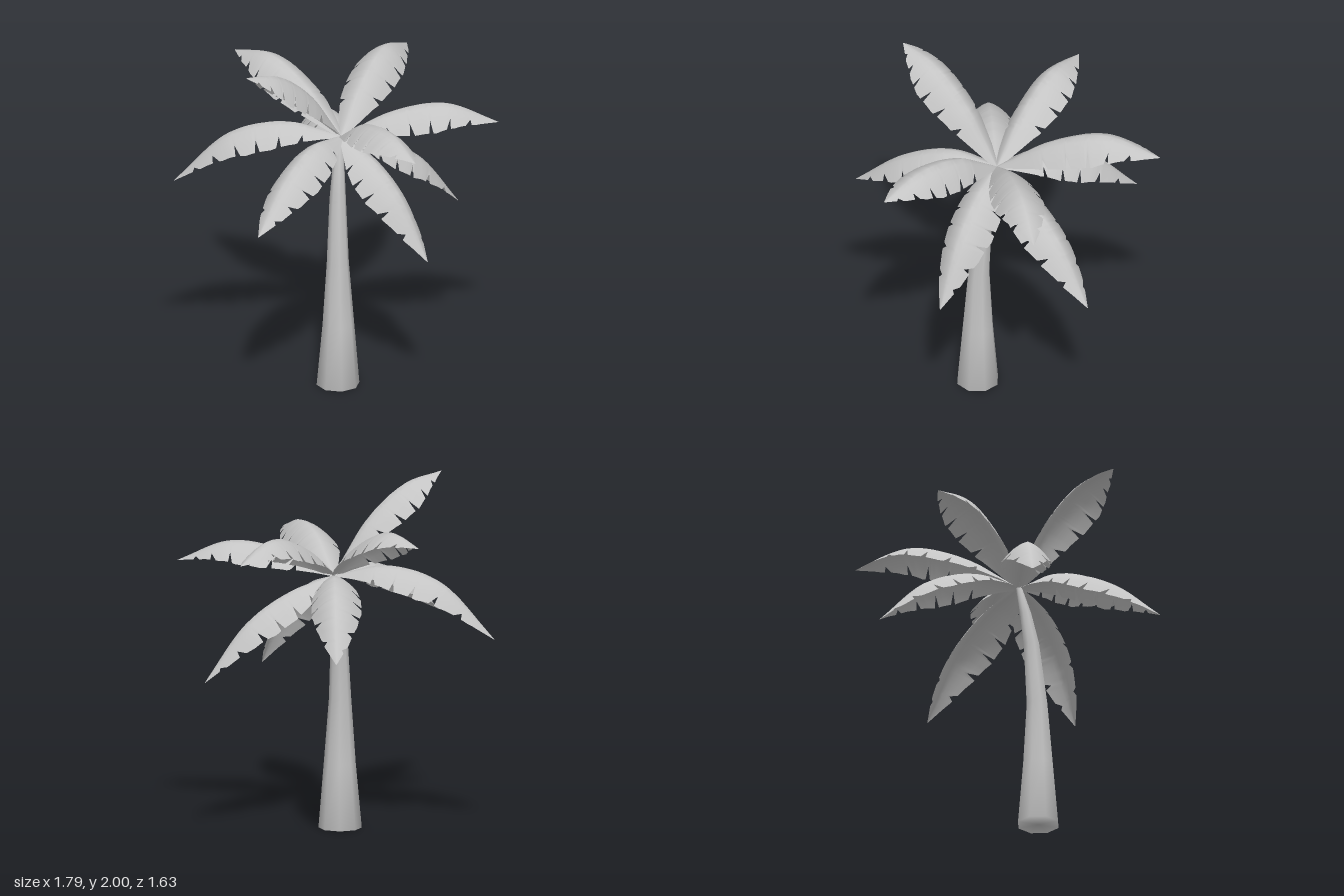
import * as THREE from 'three';
import { mergeVertices } from 'three/addons/utils/BufferGeometryUtils.js';

const ROOT = new THREE.Vector3(0.01, 1.465, 0.03);

// Each frond: tip x, tip z, rib heights at one third, two thirds and the tip, roll in degrees
const FRONDS = [
  [-0.90, -0.23, 1.54, 1.46, 1.15, 0],
  [-0.48, -0.64, 1.69, 1.80, 1.75, -8],
  [-0.02, -0.82, 1.50, 1.40, 1.12, 4],
  [0.52, -0.76, 1.68, 1.77, 1.67, 4],
  [0.73, -0.25, 1.39, 1.23, 0.90, 0],
  [0.89, 0.13, 1.61, 1.65, 1.53, 3],
  [0.42, 0.52, 1.39, 1.22, 0.87, 0],
  [0.30, 0.81, 1.64, 1.68, 1.60, -6],
  [-0.57, 0.66, 1.50, 1.39, 1.15, 0],
  [-0.59, 0.37, 1.78, 1.95, 2.00, -4],
];

// Half width of the blade along its length
const WIDTH = [[0, 0.015], [0.1, 0.06], [0.25, 0.115], [0.42, 0.14], [0.6, 0.142], [0.75, 0.118], [0.88, 0.07], [1, 0.002]];
// Tear positions on each edge
const TEARS = [[0.23, 0.38, 0.53, 0.67, 0.8, 0.9], [0.28, 0.43, 0.57, 0.72, 0.85]];

function widthAt(t) {
  const i = Math.max(1, WIDTH.findIndex(([s]) => s >= t));
  const [a, wa] = WIDTH[i - 1], [b, wb] = WIDTH[i];
  return wa + (wb - wa) * (t - a) / (b - a);
}

// The edge runs inward at each tear
function edgeAt(t, tears, shift) {
  let cut = 0;
  for (const c of tears) cut = Math.max(cut, 1 - Math.abs(t - c - shift) / 0.017);
  return widthAt(t) * (1 - 0.33 * cut);
}

function frondGeometry([x, z, y1, y2, y3, roll], index) {
  const at = (s, y) => new THREE.Vector3(ROOT.x + (x - ROOT.x) * s, y, ROOT.z + (z - ROOT.z) * s);
  const rib = new THREE.CatmullRomCurve3([ROOT, at(1 / 3, y1), at(2 / 3, y2), at(1, y3)]);
  const level = new THREE.Vector3(ROOT.z - z, 0, x - ROOT.x).normalize();
  const shift = ((index * 7) % 5 - 2) * 0.008;

  const stations = WIDTH.map(([s]) => s);
  for (const c of TEARS.flat()) stations.push(c + shift - 0.017, c + shift, c + shift + 0.017);
  stations.sort((a, b) => a - b);

  const columns = 8, positions = [], indices = [];
  stations.forEach((t, i) => {
    const p = rib.getPoint(t), tangent = rib.getTangent(t);
    const side = level.clone().applyAxisAngle(tangent, THREE.MathUtils.degToRad(roll));
    const normal = new THREE.Vector3().crossVectors(side, tangent).normalize();
    const edges = TEARS.map((tears) => edgeAt(t, tears, shift));
    for (let j = 0; j <= columns; j++) {
      const u = j / columns * 2 - 1;
      const d = u * edges[u < 0 ? 0 : 1];
      // The blade falls away from a soft ridge
      const drop = 0.25 * Math.abs(d) + 4.2 * d * d;
      const v = p.clone().addScaledVector(side, d).addScaledVector(normal, -drop);
      positions.push(v.x, v.y, v.z);
      if (i && j) {
        const d1 = i * (columns + 1) + j, c1 = d1 - 1, b1 = d1 - columns - 1, a1 = b1 - 1;
        indices.push(a1, b1, c1, b1, d1, c1);
      }
    }
  });
  const g = new THREE.BufferGeometry();
  g.setAttribute('position', new THREE.Float32BufferAttribute(positions, 3));
  g.setIndex(indices);
  g.computeVertexNormals();
  return g;
}

// Eight-sided trunk, bent and tapered by rings of centre x, y, z and radius
const RINGS = [[-0.025, 0, 0.132, 0.122], [-0.023, 0.37, 0.132, 0.09], [-0.025, 0.74, 0.125, 0.063],
  [-0.02, 1.11, 0.093, 0.047], [-0.01, 1.3, 0.062, 0.034], [0.005, 1.46, 0.028, 0.018]];

function trunkGeometry() {
  const segments = RINGS.length - 1;
  const base = new THREE.CylinderGeometry(1, 1, 1, 8, segments);
  base.deleteAttribute('normal');
  base.deleteAttribute('uv');
  const g = mergeVertices(base);
  const pos = g.attributes.position;
  for (let i = 0; i < pos.count; i++) {
    const [x, y, z, r] = RINGS[Math.round((pos.getY(i) + 0.5) * segments)];
    pos.setXYZ(i, x + pos.getX(i) * r, y, z + pos.getZ(i) * r);
  }
  g.computeVertexNormals();
  return g;
}

export function createModel() {
  const palm = new THREE.Group();
  palm.name = 'palmTree';
  const grey = new THREE.MeshStandardMaterial({ color: 0xc4c4c4, side: THREE.DoubleSide });
  grey.name = 'pale grey';

  const trunk = new THREE.Mesh(trunkGeometry(), grey);
  trunk.name = 'trunk';
  palm.add(trunk);

  const crown = new THREE.Group();
  crown.name = 'crown';
  FRONDS.forEach((f, i) => {
    const frond = new THREE.Mesh(frondGeometry(f, i), grey);
    frond.name = 'frond' + (i + 1);
    crown.add(frond);
  });
  palm.add(crown);
  return palm;
}
